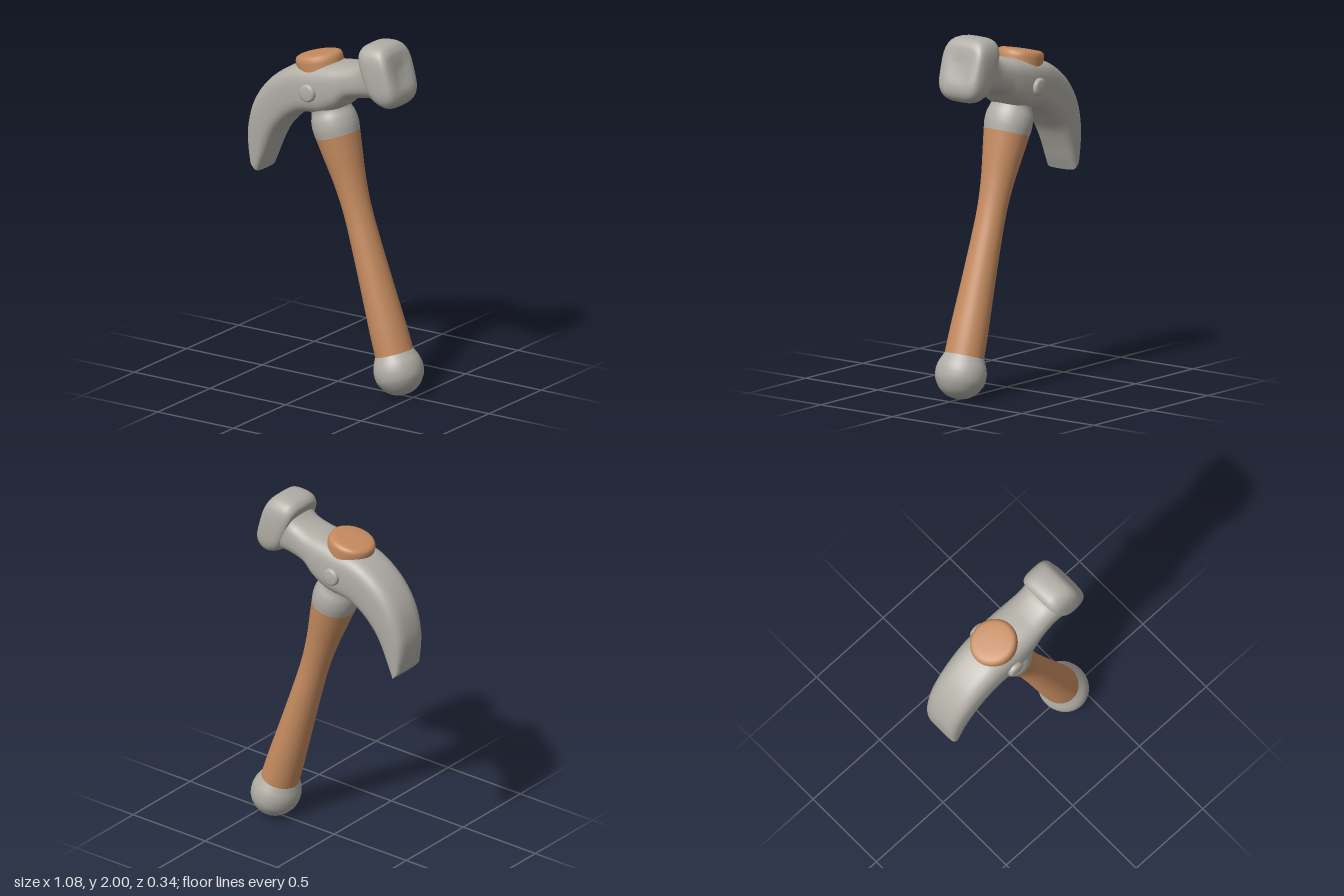
import * as THREE from 'three';
import { toCreasedNormals } from 'three/addons/utils/BufferGeometryUtils.js';

const steel = new THREE.MeshStandardMaterial({ color: 0xb0ada5 });
steel.name = 'steel';
const wood = new THREE.MeshStandardMaterial({ color: 0xc58b5f });
wood.name = 'wood';

function add(parent, name, geometry, material) {
  const mesh = new THREE.Mesh(geometry, material);
  mesh.name = name;
  parent.add(mesh);
  return mesh;
}

// Smooth lathe through a few [radius, height] points
function turned(points, smooth = true) {
  let pts = points.map(([r, y]) => new THREE.Vector2(r, y));
  if (smooth) pts = new THREE.SplineCurve(pts).getPoints(32).map((p) => new THREE.Vector2(Math.max(p.x, 0), p.y));
  return new THREE.LatheGeometry(pts, 40);
}

// Loft of rounded sections; row = [topX, topY, bottomX, bottomY, halfWidth, squareness]
function loft(rows, steps, crease) {
  const N = 40;
  const curve = (f) => new THREE.CatmullRomCurve3(rows.map(f), false, 'catmullrom', 0.5);
  const tops = curve((r) => new THREE.Vector3(r[0], r[1], 0));
  const bottoms = curve((r) => new THREE.Vector3(r[2], r[3], 0));
  const sizes = curve((r) => new THREE.Vector3(r[4], r[5], 0));
  const pos = [], index = [];
  const power = (v, n) => Math.sign(v) * Math.abs(v) ** (2 / n);
  for (let i = 0; i <= steps; i++) {
    const t = tops.getPoint(i / steps), b = bottoms.getPoint(i / steps), s = sizes.getPoint(i / steps);
    for (let j = 0; j < N; j++) {
      const a = (j / N) * Math.PI * 2;
      const k = (1 + power(Math.cos(a), s.y)) / 2;
      pos.push(b.x + (t.x - b.x) * k, b.y + (t.y - b.y) * k, s.x * power(Math.sin(a), s.y));
    }
  }
  for (let i = 0; i < steps; i++) {
    for (let j = 0; j < N; j++) {
      const a = i * N + j, b = i * N + (j + 1) % N;
      index.push(a, b, a + N, b, b + N, a + N);
    }
  }
  // End caps
  for (const end of [0, 1]) {
    const t = tops.getPoint(end), b = bottoms.getPoint(end);
    const c = pos.length / 3, base = end * steps * N;
    pos.push((t.x + b.x) / 2, (t.y + b.y) / 2, 0);
    for (let j = 0; j < N; j++) {
      const p = base + j, q = base + (j + 1) % N;
      if (end) index.push(c, p, q); else index.push(c, q, p);
    }
  }
  const g = new THREE.BufferGeometry();
  g.setAttribute('position', new THREE.Float32BufferAttribute(pos, 3));
  g.setIndex(index);
  return toCreasedNormals(g, crease);
}

export function createModel() {
  const model = new THREE.Group();
  model.name = 'clawHammer';

  // Handle, tilted, slightly wider sideways
  const handle = new THREE.Group();
  handle.name = 'handle';
  handle.position.set(0.403, 0.138, 0);
  handle.rotation.z = 0.304;
  handle.scale.z = 1.08;
  model.add(handle);
  add(handle, 'grip', turned([
    [0.104, 0.1], [0.1, 0.25], [0.089, 0.5], [0.08, 0.75], [0.078, 0.92],
    [0.088, 1.08], [0.108, 1.24], [0.121, 1.342],
  ]), wood);
  add(handle, 'collar', turned([
    [0.121, 1.342], [0.126, 1.39], [0.122, 1.44], [0.108, 1.49], [0.112, 1.53], [0.125, 1.57],
  ]), steel);
  add(handle, 'pommel', turned([
    [0, -0.137], [0.052, -0.127], [0.096, -0.096], [0.127, -0.045], [0.134, 0.003],
    [0.128, 0.045], [0.114, 0.08], [0.104, 0.102],
  ]), steel);

  // Wooden end of the handle showing through the head
  const plug = add(model, 'handleEnd', turned([
    [0.132, -0.12], [0.134, -0.03], [0.133, -0.012], [0.126, 0.002], [0.11, 0.009], [0.06, 0.012], [0, 0.013],
  ], false), wood);
  plug.position.set(-0.126, 1.852, 0);
  plug.rotation.z = 0.22;
  plug.scale.z = 0.94;

  // Head, from the claw tip to the neck
  const head = new THREE.Group();
  head.name = 'head';
  model.add(head);
  add(head, 'clawAndCheek', loft([
    [-0.522, 1.195, -0.47, 1.138, 0.1, 4],
    [-0.538, 1.29, -0.44, 1.2, 0.106, 3.8],
    [-0.54, 1.4, -0.405, 1.28, 0.114, 3.5],
    [-0.507, 1.53, -0.353, 1.38, 0.124, 3.4],
    [-0.443, 1.637, -0.273, 1.467, 0.131, 3.4],
    [-0.355, 1.722, -0.19, 1.52, 0.137, 3.4],
    [-0.24, 1.788, -0.13, 1.535, 0.142, 3.4],
    [-0.1, 1.82, -0.04, 1.545, 0.146, 3.2],
    [0.01, 1.838, 0.06, 1.592, 0.142, 3],
    [0.11, 1.852, 0.125, 1.65, 0.133, 2.8],
    [0.19, 1.88, 0.215, 1.675, 0.126, 2.8],
    [0.25, 1.93, 0.295, 1.685, 0.13, 3],
  ], 88, 0.7), steel);

  // Striking poll with a domed face
  add(head, 'poll', loft([
    [0.215, 1.91, 0.295, 1.7, 0.1, 3],
    [0.2, 1.95, 0.305, 1.68, 0.128, 3.4],
    [0.225, 1.985, 0.335, 1.662, 0.143, 3.6],
    [0.28, 2.0, 0.385, 1.648, 0.146, 3.6],
    [0.345, 1.997, 0.43, 1.664, 0.142, 3.6],
    [0.38, 1.97, 0.455, 1.7, 0.127, 3.5],
    [0.396, 1.93, 0.456, 1.75, 0.09, 3.2],
    [0.408, 1.87, 0.43, 1.81, 0.03, 2.5],
  ], 48, 1.1), steel);

  // Rivet heads on both cheeks
  for (const side of [1, -1]) {
    const rivet = add(head, side > 0 ? 'frontRivet' : 'backRivet', turned([
      [0.05, 0], [0.05, 0.042], [0.046, 0.052], [0.036, 0.057], [0, 0.059],
    ], false), steel);
    rivet.position.set(-0.097, 1.672, side * 0.112);
    rivet.rotation.x = side * Math.PI / 2;
  }
  return model;
}
